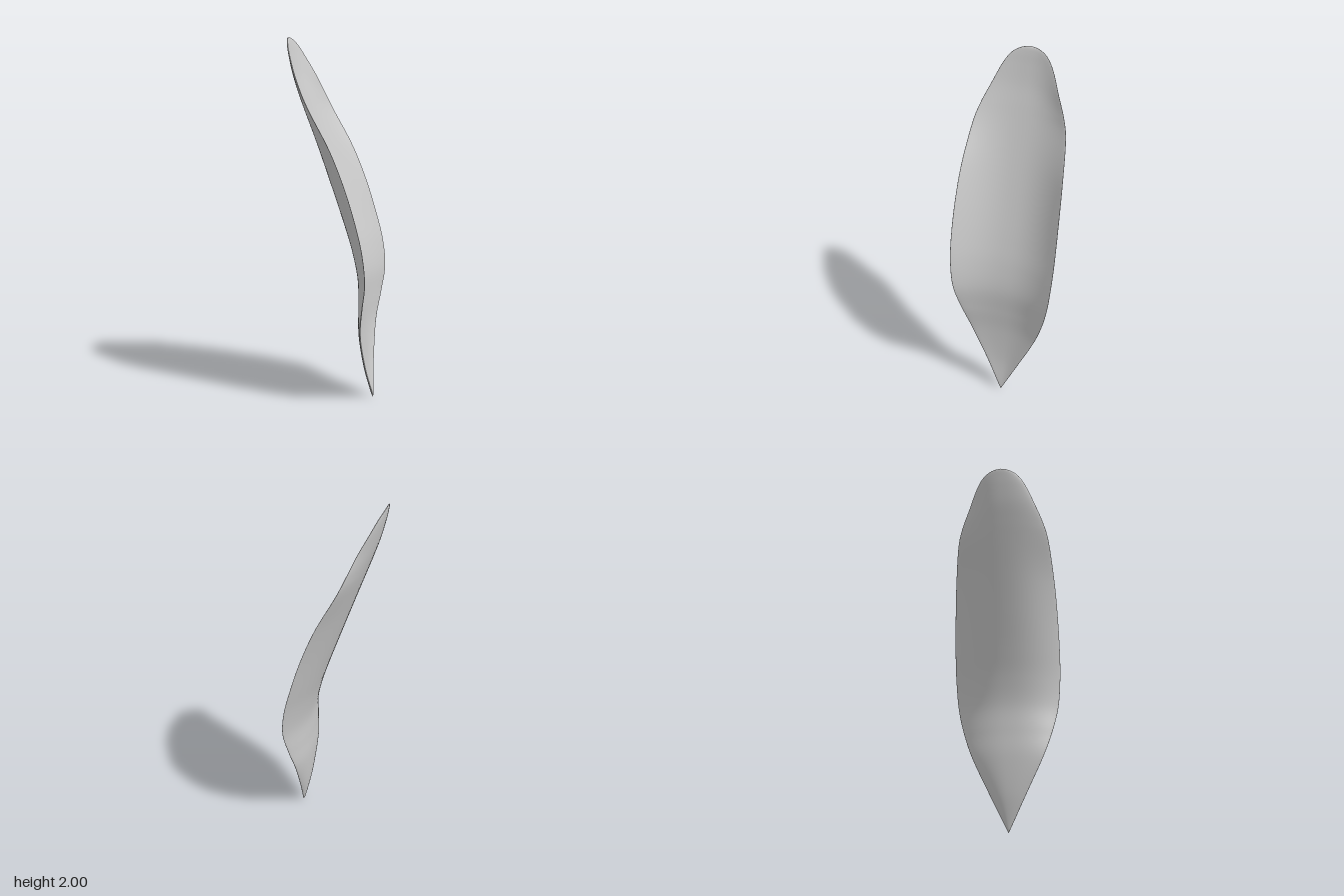
import * as THREE from 'three';

// Stations from tip to crown: y, half width, midrib x, edge x on -z, edge x on +z, half thickness
const STATIONS = [
  [0.00, 0.000, 0.230, 0.230, 0.230, 0.000],
  [0.04, 0.020, 0.222, 0.226, 0.224, 0.007],
  [0.20, 0.098, 0.190, 0.214, 0.200, 0.009],
  [0.40, 0.192, 0.171, 0.209, 0.190, 0.010],
  [0.55, 0.245, 0.168, 0.228, 0.210, 0.010],
  [0.70, 0.281, 0.162, 0.246, 0.232, 0.010],
  [0.85, 0.296, 0.130, 0.230, 0.222, 0.010],
  [1.00, 0.300, 0.083, 0.192, 0.190, 0.010],
  [1.20, 0.296, 0.014, 0.130, 0.128, 0.010],
  [1.40, 0.285, -0.056, 0.050, 0.045, 0.010],
  [1.60, 0.262, -0.127, -0.055, -0.068, 0.010],
  [1.70, 0.234, -0.162, -0.100, -0.122, 0.010],
  [1.80, 0.190, -0.196, -0.142, -0.170, 0.009],
  [1.90, 0.143, -0.223, -0.192, -0.207, 0.008],
  [1.96, 0.100, -0.237, -0.222, -0.228, 0.007],
  [1.99, 0.050, -0.244, -0.240, -0.241, 0.005],
  [2.00, 0.000, -0.247, -0.247, -0.247, 0.000],
];

// Smooth curve through three columns of the station table
const track = (a, b, c) => new THREE.CatmullRomCurve3(
  STATIONS.map((s) => new THREE.Vector3(s[a], s[b], s[c])), false, 'catmullrom', 0.5);

function petalGeometry(rows = 128, sides = 64) {
  const outline = track(0, 1, 2);
  const edges = track(3, 4, 5);
  const positions = [];
  const indices = [];
  for (let i = 0; i <= rows; i++) {
    const o = outline.getPoint(i / rows);
    const e = edges.getPoint(i / rows);
    const width = Math.max(0, o.y);
    for (let j = 0; j < sides; j++) {
      // Thin rounded section, cupped towards +x
      const angle = (j / sides) * Math.PI * 2;
      const t = Math.cos(angle);
      const s = Math.sin(angle);
      const edge = t > 0 ? e.y : e.x;
      const x = o.z + (edge - o.z) * Math.abs(t) ** 2.3
        + Math.max(0, e.z) * Math.sign(s) * Math.abs(s) ** 0.7;
      positions.push(x, o.x, width * t);
      if (i < rows) {
        const a = i * sides + j;
        const b = i * sides + ((j + 1) % sides);
        indices.push(a, b, b + sides, a, b + sides, a + sides);
      }
    }
  }
  const geometry = new THREE.BufferGeometry();
  geometry.setAttribute('position', new THREE.Float32BufferAttribute(positions, 3));
  geometry.setIndex(indices);
  geometry.computeVertexNormals();
  return geometry;
}

export function createModel() {
  const model = new THREE.Group();
  model.name = 'curvedPetal';
  const petal = new THREE.Mesh(
    petalGeometry(), new THREE.MeshStandardMaterial({ color: 0xcccccc }));
  petal.name = 'petalBlade';
  model.add(petal);
  return model;
}
